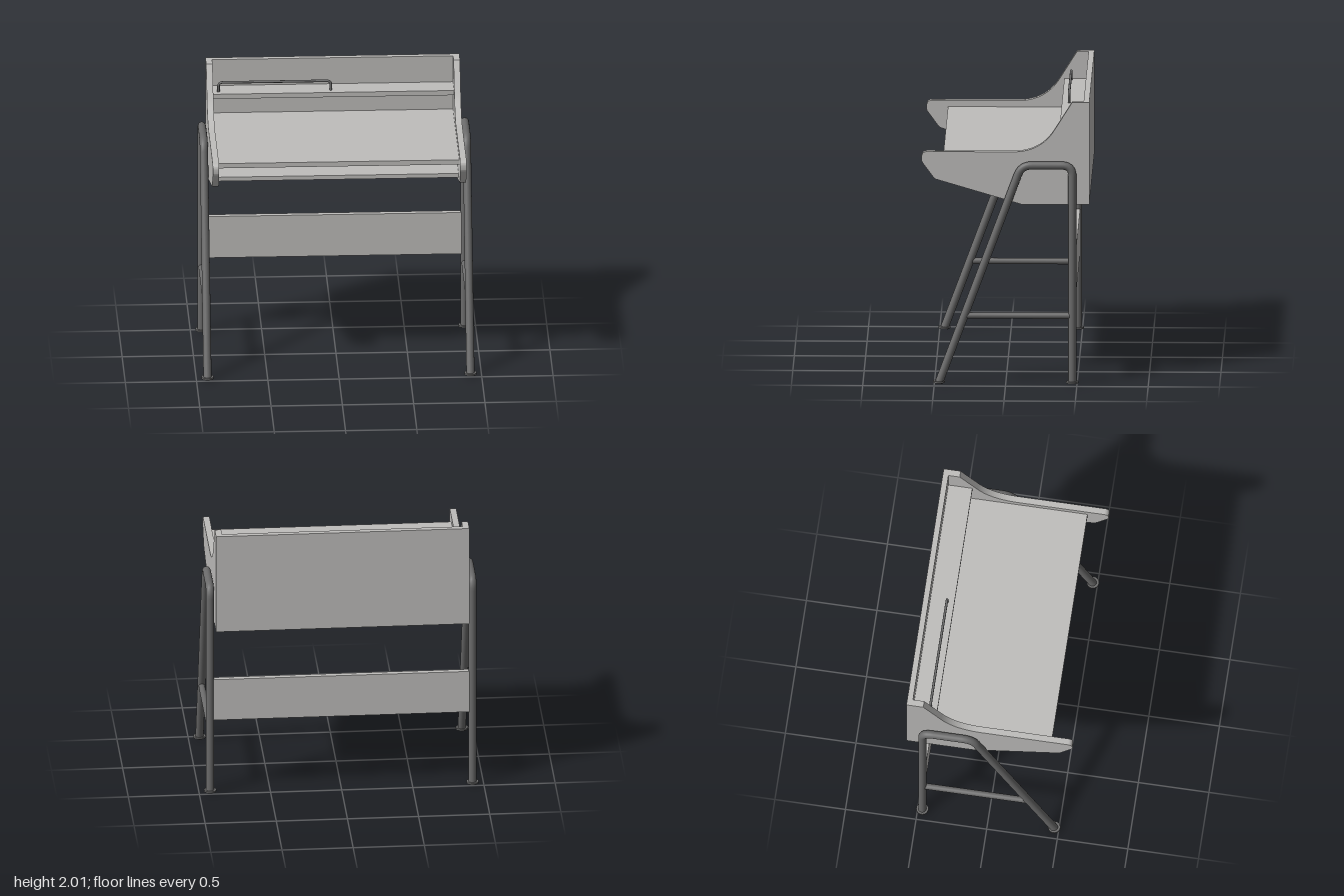
import * as THREE from 'three';
import { toCreasedNormals } from 'three/addons/utils/BufferGeometryUtils.js';

const V = (x, y, z) => new THREE.Vector3(x, y, z);

// Path through corner points, each inner corner rounded by a bend that starts `bend` before it
function bentPath(points, bend) {
  const path = new THREE.CurvePath();
  let from = points[0];
  for (let i = 1; i < points.length - 1; i++) {
    const p = points[i];
    const a = p.clone().add(points[i - 1].clone().sub(p).setLength(bend));
    const b = p.clone().add(points[i + 1].clone().sub(p).setLength(bend));
    path.add(new THREE.LineCurve3(from, a));
    path.add(new THREE.QuadraticBezierCurve3(a, p.clone().lerp(a.clone().add(b).multiplyScalar(0.5), -0.05), b));
    from = b;
  }
  path.add(new THREE.LineCurve3(from, points[points.length - 1]));
  return path;
}

export function createModel() {
  const group = new THREE.Group();
  const panelMat = new THREE.MeshStandardMaterial({ color: 0xbfbebc });
  panelMat.name = 'light grey panel';
  const metalMat = new THREE.MeshStandardMaterial({ color: 0x6b6b6b });
  metalMat.name = 'dark grey metal';

  const add = (name, geometry, material, x = 0, y = 0, z = 0) => {
    const mesh = new THREE.Mesh(geometry, material);
    mesh.name = name;
    mesh.position.set(x, y, z);
    group.add(mesh);
    return mesh;
  };

  // Board given by its extents
  const board = (name, halfWidth, y0, y1, z0, z1) =>
    add(name, new THREE.BoxGeometry(halfWidth * 2, y1 - y0, z1 - z0), panelMat, 0, (y0 + y1) / 2, (z0 + z1) / 2);

  // Side panel profile, drawn with shape x = -z
  const side = new THREE.Shape();
  side.moveTo(0.585, 1.27);
  side.lineTo(0.585, 2);
  side.lineTo(0.465, 2);
  side.lineTo(0.34, 1.8);
  side.quadraticCurveTo(0.243, 1.645, 0.05, 1.645);
  side.lineTo(-0.55, 1.645);
  side.quadraticCurveTo(-0.59, 1.645, -0.59, 1.605);
  side.lineTo(-0.59, 1.585);
  side.quadraticCurveTo(-0.59, 1.575, -0.583, 1.565);
  side.lineTo(-0.51, 1.465);
  side.quadraticCurveTo(-0.5, 1.45, -0.482, 1.445);
  side.lineTo(0.11, 1.27);
  const sideGeo = toCreasedNormals(
    new THREE.ExtrudeGeometry(side, { depth: 0.045, bevelEnabled: false, curveSegments: 16 }), 0.35);
  sideGeo.rotateY(Math.PI / 2);
  add('leftSidePanel', sideGeo, panelMat, 0.845);
  add('rightSidePanel', sideGeo, panelMat, -0.89);

  // Boards between the sides
  board('backPanel', 0.845, 1.27, 2, -0.585, -0.545);
  board('upperShelf', 0.845, 1.77, 1.805, -0.545, -0.375);
  board('desktop', 0.845, 1.565, 1.6, -0.545, 0.44);
  board('lowerShelf', 0.845, 1.425, 1.455, -0.545, 0.33);
  board('stretcherPanel', 0.9, 0.55, 0.86, -0.485, -0.445);

  // Tubular leg frames with crossbars and feet
  const backZ = -0.467, frontZ = 0.467;
  const legPath = bentPath([V(0, 0, frontZ), V(0, 1.555, -0.11), V(0, 1.555, backZ), V(0, 0, backZ)], 0.075);
  const legGeo = new THREE.TubeGeometry(legPath, 160, 0.0285, 20, false);
  const barGeo = new THREE.CylinderGeometry(0.022, 0.022, 0.75, 20).rotateX(Math.PI / 2);
  const footGeo = new THREE.CylinderGeometry(0.043, 0.043, 0.012, 28);
  for (const [label, s] of [['left', 1], ['right', -1]]) {
    const x = s * 0.922;
    add(label + 'LegFrame', legGeo, metalMat, x);
    add(label + 'Crossbar', barGeo, metalMat, x, 0.48, -0.092);
    add(label + 'FrontFoot', footGeo, metalMat, x, 0.006, frontZ);
    add(label + 'BackFoot', footGeo, metalMat, x, 0.006, backZ);
  }

  // Thin rail on the upper shelf
  const railPath = bentPath(
    [V(-0.805, 1.8, -0.425), V(-0.805, 1.874, -0.425), V(-0.018, 1.874, -0.425), V(-0.018, 1.8, -0.425)], 0.03);
  add('shelfRail', new THREE.TubeGeometry(railPath, 160, 0.009, 12, false), metalMat);

  return group;
}
